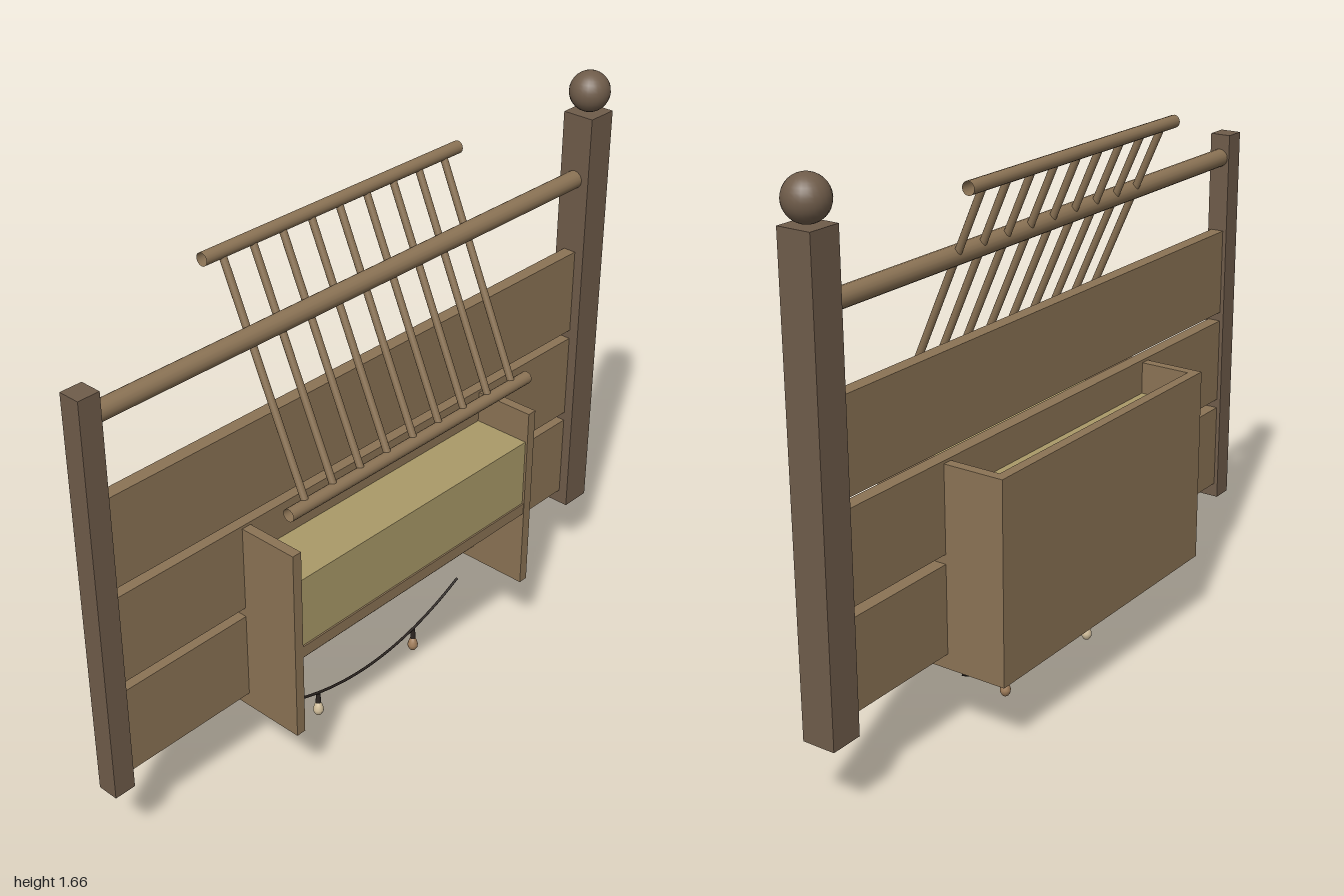
import * as THREE from 'three';

const paint = (color, side = THREE.FrontSide) => new THREE.MeshStandardMaterial({ color, side });

export function createModel() {
  const model = new THREE.Group();
  const wood = paint(0x8b7355);
  const poleWood = paint(0x8b7355, THREE.DoubleSide);
  const postWood = paint(0x6f5c4a);
  const hay = paint(0xaa9a68);
  const dark = paint(0x2b2420);

  const add = (name, geometry, material, parent = model) => {
    const mesh = new THREE.Mesh(geometry, material);
    mesh.name = name;
    parent.add(mesh);
    return mesh;
  };
  const group = (name) => {
    const g = new THREE.Group();
    g.name = name;
    model.add(g);
    return g;
  };
  // Box given by its limits on each axis
  const block = (name, [x0, x1], [y0, y1], [z0, z1], material, parent) =>
    add(name, new THREE.BoxGeometry(x1 - x0, y1 - y0, z1 - z0), material, parent)
      .position.set((x0 + x1) / 2, (y0 + y1) / 2, (z0 + z1) / 2);
  // Open-ended round pole between two points
  const pole = (name, a, b, radius, parent) => {
    const from = new THREE.Vector3(...a), to = new THREE.Vector3(...b);
    const dir = to.clone().sub(from);
    const mesh = add(name, new THREE.CylinderGeometry(radius, radius, dir.length(), 16, 1, true), poleWood, parent);
    mesh.position.copy(from).add(to).multiplyScalar(0.5);
    mesh.quaternion.setFromUnitVectors(new THREE.Vector3(0, 1, 0), dir.normalize());
  };

  // Posts and ball finial
  block('shortPost', [-1, -0.935], [0.225, 1.42], [-0.032, 0.032], postWood);
  block('tallPost', [0.885, 0.983], [0.225, 1.545], [-0.05, 0.05], postWood);
  add('ballFinial', new THREE.SphereGeometry(0.06, 24, 16), postWood).position.set(0.934, 1.606, 0);

  // Fence: three boards and a top rail
  const fence = group('fence');
  for (let i = 0; i < 3; i++) {
    const y = 0.27 + i * 0.2925;
    block('board', [-0.94, 0.89], [y, y + 0.264], [-0.02, 0.02], wood, fence);
  }
  pole('topRail', [-0.94, 1.348, 0], [0.89, 1.348, 0], 0.027, fence);

  // Feed trough with hay
  const trough = group('trough');
  block('troughSide', [-0.505, -0.475], [0.225, 0.818], [-0.205, 0.205], wood, trough);
  block('troughSide', [0.455, 0.485], [0.225, 0.818], [-0.205, 0.205], wood, trough);
  block('troughBack', [-0.475, 0.455], [0.225, 0.818], [-0.205, -0.175], wood, trough);
  block('troughShelf', [-0.475, 0.455], [0.475, 0.51], [-0.175, 0.203], wood, trough);
  block('hay', [-0.475, 0.455], [0.51, 0.722], [-0.175, 0.198], hay, trough);

  // Slanted hay rack
  const rack = group('hayRack');
  const low = [0.925, 0.178], high = [1.548, -0.1];
  for (const [y, z] of [low, high]) pole('rackRail', [-0.49, y, z], [0.47, y, z], 0.0185, rack);
  for (let i = 0; i < 9; i++) {
    const x = -0.425 + i * 0.1038;
    pole('rackRung', [x, ...low], [x, ...high], 0.0105, rack);
  }

  // Sagging cord with two hanging bulbs
  const garland = group('garland');
  const sag = (x) => 0.058 + 0.107 * ((x + 0.008) / 0.412) ** 2;
  const points = [];
  for (let i = 0; i <= 12; i++) {
    const x = -0.42 + (i / 12) * 0.824;
    points.push(new THREE.Vector3(x, sag(x), 0));
  }
  add('cord', new THREE.TubeGeometry(new THREE.CatmullRomCurve3(points), 40, 0.004, 8), dark, garland);
  const drop = [[0, 0.004], [0.009, 0.008], [0.015, 0.018], [0.016, 0.027], [0.013, 0.038], [0.007, 0.052], [0, 0.055]]
    .map(([r, y]) => new THREE.Vector2(r, y));
  for (const [x, color] of [[-0.216, 0xd2bf9c], [0.2, 0xa27f5c]]) {
    add('bulb', new THREE.LatheGeometry(drop, 16), paint(color), garland).position.x = x;
    add('bulbCap', new THREE.CylinderGeometry(0.007, 0.008, 0.034, 12), dark, garland).position.set(x, 0.067, 0);
  }
  return model;
}
